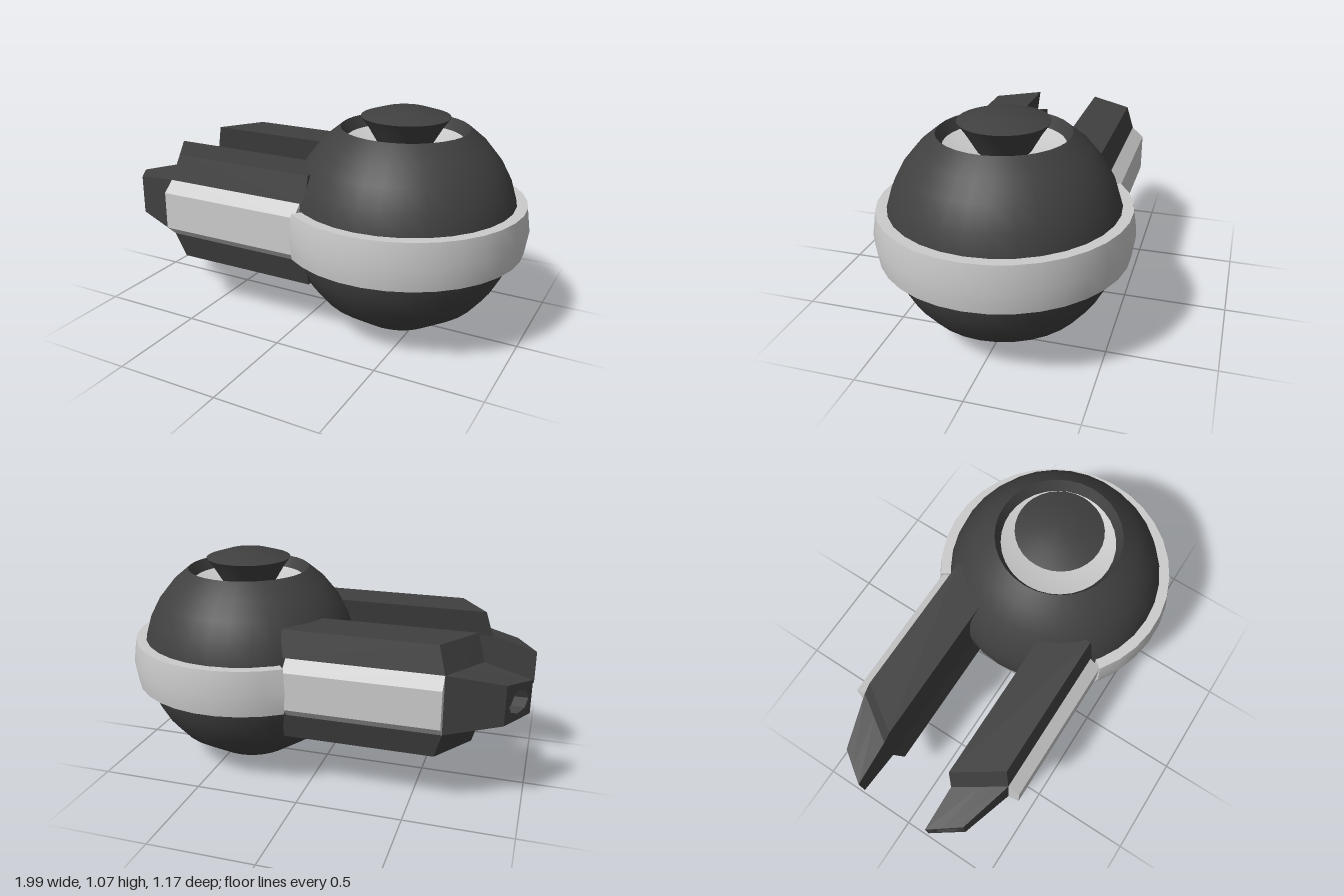
import * as THREE from 'three';
import { toCreasedNormals } from 'three/addons/utils/BufferGeometryUtils.js';

const dark = new THREE.MeshStandardMaterial({ color: 0x404040 });
const grey = new THREE.MeshStandardMaterial({ color: 0xcccccc });
const CX = 0.405, CY = 0.54, R = 0.535;

function addMesh(parent, name, geometry, material, crease = 0.5) {
  const mesh = new THREE.Mesh(toCreasedNormals(geometry, crease), material);
  mesh.name = name;
  parent.add(mesh);
  return mesh;
}

// Closed skin over a list of equal-length rings of [x, y, z], turned to face outwards
function loft(rings) {
  const n = rings[0].length, tris = [];
  const centre = (ring) => [0, 1, 2].map((k) => ring.reduce((s, p) => s + p[k], 0) / n);
  for (let i = 0; i + 1 < rings.length; i++) {
    for (let j = 0; j < n; j++) {
      const k = (j + 1) % n;
      const a = rings[i][j], b = rings[i][k], c = rings[i + 1][k], d = rings[i + 1][j];
      tris.push([a, b, c], [a, c, d]);
    }
  }
  const first = rings[0], last = rings[rings.length - 1];
  const cf = centre(first), cl = centre(last);
  for (let j = 0; j < n; j++) {
    const k = (j + 1) % n;
    tris.push([first[k], first[j], cf], [last[j], last[k], cl]);
  }
  const v = (p) => new THREE.Vector3(...p);
  const volume = tris.reduce((s, [a, b, c]) => s + v(a).dot(v(b).cross(v(c))), 0);
  const out = tris.flatMap(([a, b, c]) => (volume < 0 ? [a, c, b] : [a, b, c])).flat();
  const g = new THREE.BufferGeometry();
  g.setAttribute('position', new THREE.Float32BufferAttribute(out, 3));
  g.computeVertexNormals();
  return g;
}

function lathe(points) {
  const g = new THREE.LatheGeometry(points.map(([r, y]) => new THREE.Vector2(r, y)), 32);
  return g.translate(CX, 0, 0);
}

function buildArm(name, side) {
  const arm = new THREE.Group();
  arm.name = name;
  const mirror = (rings) => rings.map((ring) => ring.map(([x, y, z]) => [x, y, z * side]));
  const part = (label, rings, material) => addMesh(arm, label, loft(mirror(rings)), material, 0.1);

  // Upper and lower slabs lean outwards towards the middle, with raked front ends
  for (const [label, s] of [['upperSlab', 1], ['lowerSlab', -1]]) {
    const tip = CY + s * 0.265, mid = CY + s * 0.14;
    part(label, [
      [[-0.75, tip, 0.16], [-0.61, tip, 0.37], [-0.645, mid, 0.4], [-0.785, mid, 0.185]],
      [[0.1, tip, 0.16], [0.1, tip, 0.37], [0.1, mid, 0.4], [0.1, mid, 0.185]],
    ], dark);
  }
  part('middleSlab', [
    [[-0.785, 0.68, 0.185], [-0.645, 0.68, 0.4], [-0.645, 0.4, 0.4], [-0.785, 0.4, 0.185]],
    [[0.1, 0.68, 0.185], [0.1, 0.68, 0.4], [0.1, 0.4, 0.4], [0.1, 0.4, 0.185]],
  ], dark);

  // Tapered nozzle with a recessed hole in its slanted muzzle face
  const square = [[0, -1], [0.5, -1], [1, -1], [1, 0], [1, 1], [0.5, 1], [0, 1], [0, 0]];
  const base = square.map(([s, t]) => [-0.785 + 0.14 * s, CY + 0.14 * t, 0.185 + 0.215 * s]);
  const muzzle = square.map(([s, t]) => [-1 + 0.1 * s, CY + t * (0.08 + 0.015 * s), 0.185 + 0.14 * s]);
  const hole = (depth) => square.map((_, i) => {
    const a = -0.75 * Math.PI + (i * Math.PI) / 4;
    const s = 0.5 + 0.38 * Math.cos(a);
    return [-1 + 0.1 * s + depth, CY + 0.058 * Math.sin(a), 0.185 + 0.14 * s];
  });
  part('nozzle', [base, muzzle, hole(0), hole(0.06)], dark);

  // Chamfered strip along the outer face
  const strip = [[0.68, 0.4], [0.63, 0.457], [0.45, 0.457], [0.4, 0.4]];
  part('sideStrip', [-0.645, 0.075].map((x) => strip.map(([y, z]) => [x, y, z])), grey);
  return arm;
}

export function createModel() {
  const model = new THREE.Group();
  model.name = 'sphericalPod';

  // Ball, cut off at the top and turned in to form the socket wall
  const angles = [-90, -67.5, -45, -33.75, -22.5, -11.25, 0, 11.25, 22.5, 33.75, 45, 56.25];
  const ball = angles.map((deg) => {
    const a = THREE.MathUtils.degToRad(deg);
    return [Math.max(0, R * Math.cos(a)), CY + R * Math.sin(a)];
  });
  addMesh(model, 'ball', lathe([...ball, [0.27, 0.93]]), dark);
  addMesh(model, 'socketFloor', lathe([[0.27, 0.93], [0.2, 0.91], [0.12, 0.9]]), grey);
  addMesh(model, 'topCap', lathe([[0.12, 0.9], [0.17, 0.985], [0.205, 1.035], [0.11, 1.065], [0, 1.075]]), dark);

  // Belt around the ball, open where the arms leave it
  const section = [[0.51, 0.43], [0.572, 0.43], [0.588, CY], [0.572, 0.65], [0.51, 0.65]];
  const belt = [], steps = 24, half = THREE.MathUtils.degToRad(126.5);
  for (let i = 0; i <= steps; i++) {
    const a = half * ((2 * i) / steps - 1);
    belt.push(section.map(([r, y]) => [CX + r * Math.cos(a), y, r * Math.sin(a)]));
  }
  addMesh(model, 'belt', loft(belt), grey);

  model.add(buildArm('leftArm', 1), buildArm('rightArm', -1));
  return model;
}
